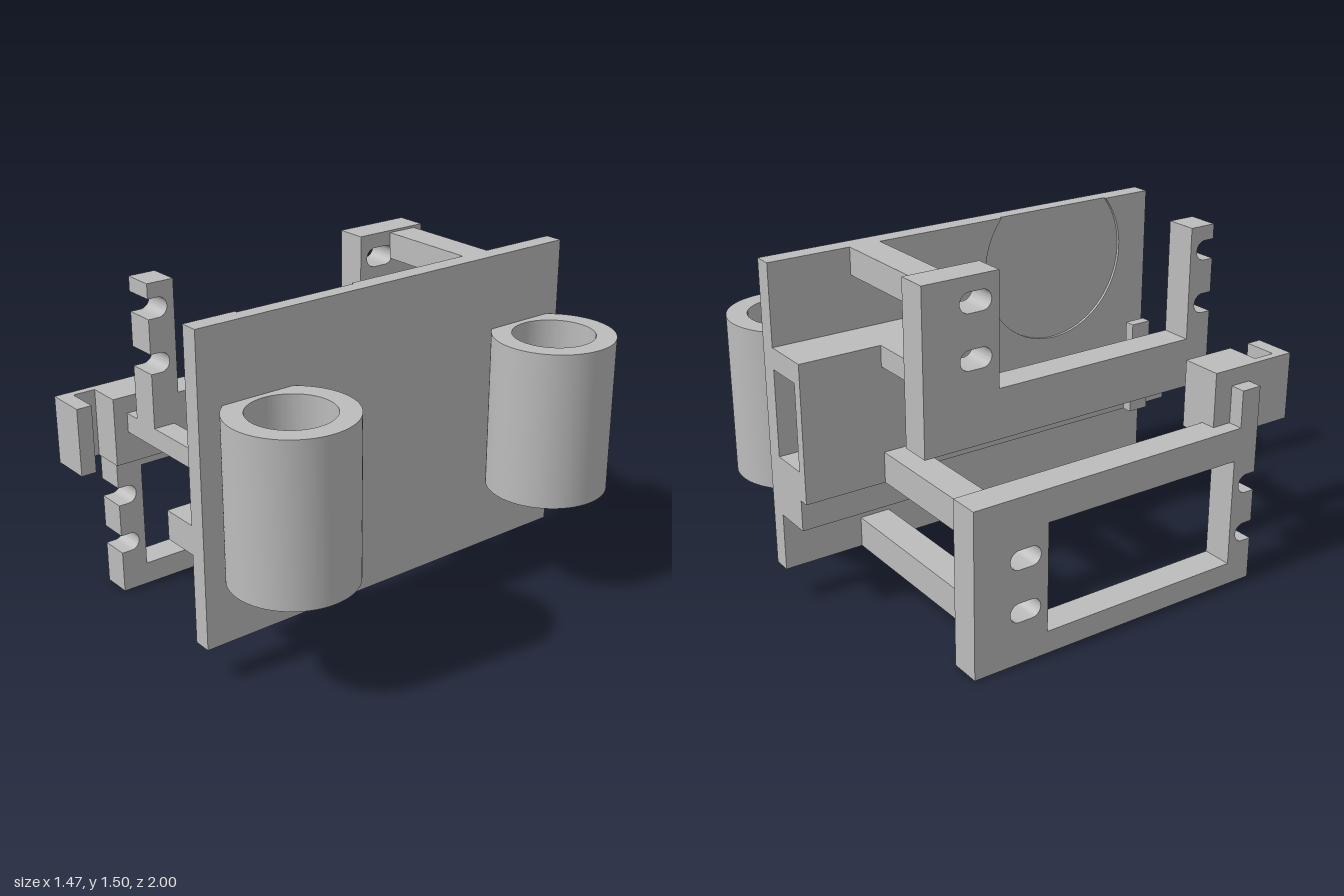
import * as THREE from 'three';
import { toCreasedNormals } from 'three/addons/utils/BufferGeometryUtils.js';

export function createModel() {
  const model = new THREE.Group();
  const grey = new THREE.MeshStandardMaterial({ color: 0xbcbcbc });
  grey.name = 'grey plastic';

  function add(name, geometry) {
    const mesh = new THREE.Mesh(geometry, grey);
    mesh.name = name;
    model.add(mesh);
  }

  // Box given by its lower and upper limits
  function block(name, x0, x1, y0, y1, z0, z1) {
    const g = new THREE.BoxGeometry(x1 - x0, y1 - y0, z1 - z0);
    add(name, g.translate((x0 + x1) / 2, (y0 + y1) / 2, (z0 + z1) / 2));
  }

  // Outline drawn in (z, y), extruded from x0 to x1
  function panel(name, shape, x0, x1) {
    const g = new THREE.ExtrudeGeometry(shape, { depth: x1 - x0, bevelEnabled: false, curveSegments: 32 });
    g.rotateY(-Math.PI / 2).translate(x1, 0, 0);
    add(name, toCreasedNormals(g, 0.6));
  }

  function polygon(points) {
    return new THREE.Shape(points.map(([z, y]) => new THREE.Vector2(z, y)));
  }

  const R = 0.042; // slot radius

  // Closed slot with round ends
  function slot(y) {
    const p = new THREE.Path();
    p.moveTo(-0.44, y - R);
    p.lineTo(-0.38, y - R);
    p.absarc(-0.38, y, R, -Math.PI / 2, Math.PI / 2, false);
    p.lineTo(-0.44, y + R);
    p.absarc(-0.44, y, R, Math.PI / 2, Math.PI * 1.5, false);
    return p;
  }

  // Notch open to the front, cut while the outline runs upwards
  function notch(shape, y) {
    shape.lineTo(0.77, y - R);
    shape.lineTo(0.725, y - R);
    shape.absarc(0.725, y, R, -Math.PI / 2, Math.PI / 2, true);
    shape.lineTo(0.77, y + R);
  }

  // Back plate with a shallow round recess open at its top edge
  const [Z0, Z1, Y0, Y1] = [-0.965, 0.907, 0.163, 1.49];
  panel('plate', polygon([[Z0, Y0], [Z1, Y0], [Z1, Y1], [Z0, Y1]]), 0.2, 0.267);
  const face = new THREE.Shape();
  face.moveTo(Z0, Y0);
  face.lineTo(Z1, Y0);
  face.lineTo(Z1, Y1);
  const rz = 0.4, ry = 1.26, rr = 0.36;
  const a = Math.asin((Y1 - ry) / rr);
  face.lineTo(rz + rr * Math.cos(a), Y1);
  face.absarc(rz, ry, rr, a, Math.PI - a, true);
  face.lineTo(Z0, Y1);
  panel('plateRecessLayer', face, 0.188, 0.2);

  // Two upright tubes on the plate
  for (const z of [0.635, -0.738]) {
    const ring = new THREE.Shape().absarc(0, 0, 0.262, 0, Math.PI * 2, false);
    ring.holes.push(new THREE.Path().absarc(0, 0, 0.176, 0, Math.PI * 2, true));
    const g = new THREE.ExtrudeGeometry(ring, { depth: 0.688, bevelEnabled: false, curveSegments: 64 });
    g.rotateX(-Math.PI / 2).translate(0.472, 0.482, z);
    add('tube', toCreasedNormals(g, 0.6));
  }

  // Lower frame: window, slotted rear post, notched front post
  const lower = new THREE.Shape();
  lower.moveTo(-0.648, 0);
  lower.lineTo(0.77, 0);
  notch(lower, 0.23);
  notch(lower, 0.46);
  for (const [z, y] of [[0.77, 0.89], [0.675, 0.89], [0.675, 0.725], [-0.648, 0.725]]) lower.lineTo(z, y);
  lower.holes.push(polygon([[-0.303, 0.1], [0.65, 0.1], [0.65, 0.58], [-0.303, 0.58]]), slot(0.23), slot(0.46));
  panel('lowerFrame', lower, -0.74, -0.605);

  // Upper frame: U shape with the same posts
  const upper = new THREE.Shape();
  upper.moveTo(-0.648, 0.805);
  upper.lineTo(0.77, 0.805);
  notch(upper, 1.165);
  notch(upper, 1.395);
  for (const [z, y] of [[0.77, 1.5], [0.65, 1.5], [0.65, 1.02], [-0.303, 1.02], [-0.303, 1.5], [-0.648, 1.5]]) upper.lineTo(z, y);
  upper.holes.push(slot(1.165), slot(1.395));
  panel('upperFrame', upper, -0.41, -0.275);

  // Cross rails at the rear
  const rails = [[-0.605, 0.188, 0.163, 0.297], [-0.605, -0.03, 0.55, 0.685],
    [-0.275, -0.03, 1.055, 1.145], [-0.275, 0.188, 1.375, 1.49]];
  for (const [x0, x1, y0, y1] of rails) block('crossRail', x0, x1, y0, y1, -0.605, -0.468);

  // Open holder behind the plate
  block('holderWall', -0.03, 0.015, 0.55, 1.145, -0.965, -0.468);
  block('holderRoof', 0.015, 0.188, 1.053, 1.145, -0.965, -0.055);
  block('holderFloor', 0.015, 0.188, 0.55, 0.677, -0.965, 0.905);
  block('holderBase', 0.015, 0.188, 0.415, 0.55, -0.965, -0.468);

  // Front strap, its end post and the hooked clip
  block('frontStrap', -0.605, -0.03, 0.805, 0.89, 0.675, 0.77);
  block('frontPost', -0.03, 0.015, 0.55, 0.965, 0.675, 0.77);
  const clip = new THREE.Shape([[-0.672, 0.585], [-0.488, 0.585], [-0.488, 0.832], [-0.637, 0.832],
    [-0.637, 0.932], [-0.488, 0.932], [-0.488, 1], [-0.672, 1]].map(([x, z]) => new THREE.Vector2(x, -z)));
  const clipGeometry = new THREE.ExtrudeGeometry(clip, { depth: 0.298, bevelEnabled: false });
  add('clip', clipGeometry.rotateX(-Math.PI / 2).translate(0, 0.667, 0));

  return model;
}
